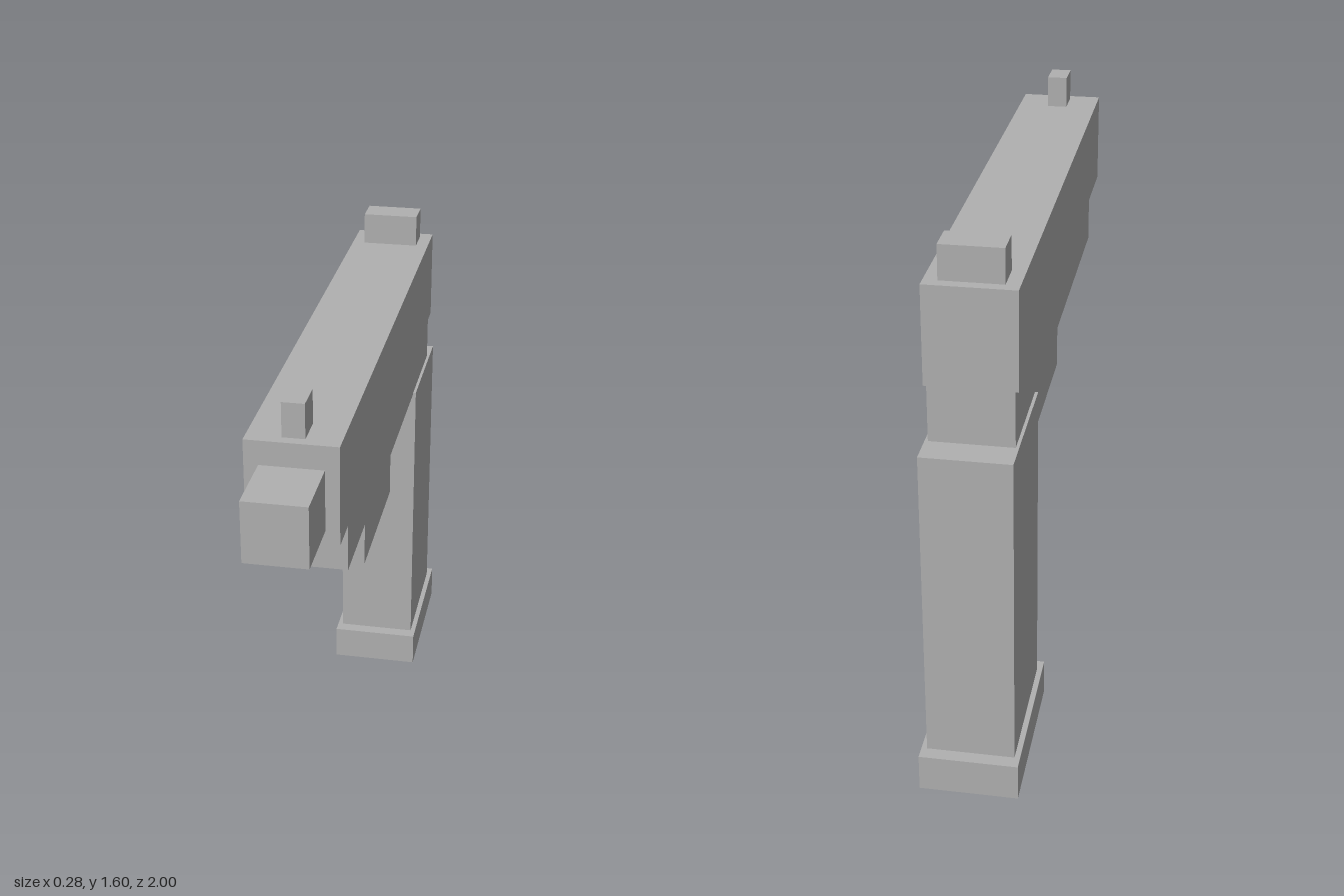
import * as THREE from 'three';

export function createModel() {
  const model = new THREE.Group();
  const grey = new THREE.MeshStandardMaterial({ color: 0xb0b0b0 });
  grey.name = 'plain grey';

  // Box centred on x, given its half width and its y and z ranges
  function block(name, halfWidth, y0, y1, z0, z1) {
    const mesh = new THREE.Mesh(new THREE.BoxGeometry(halfWidth * 2, y1 - y0, z1 - z0), grey);
    mesh.name = name;
    mesh.position.set(0, (y0 + y1) / 2, (z0 + z1) / 2);
    model.add(mesh);
  }

  // Upper body
  block('slide', 0.126, 1.222, 1.506, -0.87, 0.8);
  block('barrel', 0.087, 1.262, 1.437, 0.8, 1);
  block('frontSight', 0.031, 1.506, 1.604, 0.675, 0.77);
  block('rearSight', 0.087, 1.506, 1.604, -0.838, -0.745);

  // Lower body
  block('frame', 0.117, 1.056, 1.222, -0.87, 0.642);
  block('triggerBlock', 0.079, 0.8, 1.056, -0.312, 0.166);

  // Handle
  block('grip', 0.126, 0.112, 1.06, -0.96, -0.545);
  block('gripBase', 0.142, 0, 0.112, -1, -0.505);

  return model;
}
